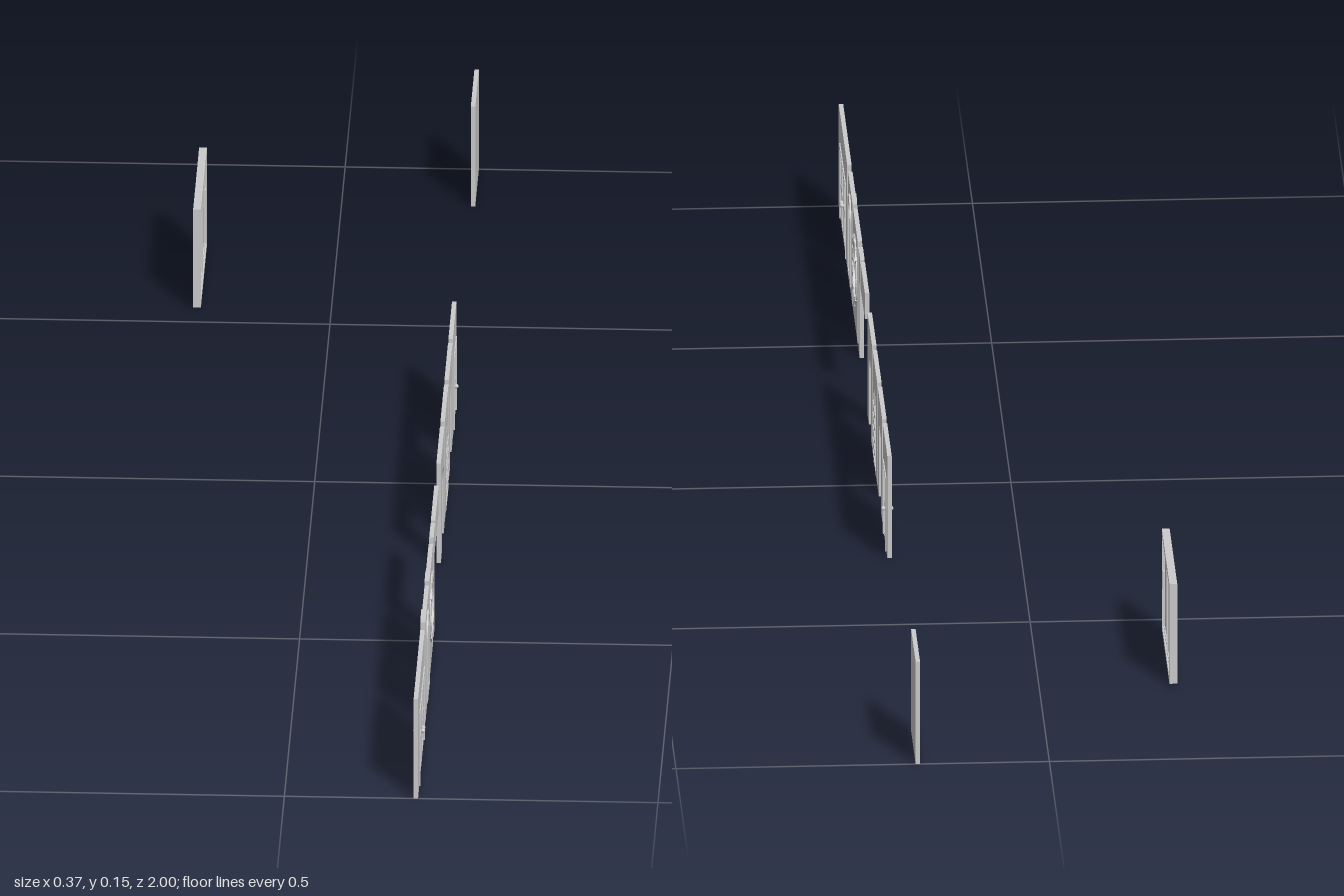
import * as THREE from 'three';

const GREY = new THREE.MeshStandardMaterial({ color: 0xcccccc, flatShading: true });
const Y0 = 0.013, Y1 = 0.16;      // foot and head of every wall
const WALL = 0.006, TRIM = 0.0105; // thicknesses

// Rectangle or round-headed outline; u runs along the wall, v is up
function rect(u0, u1, v0, v1, C = THREE.Shape) {
  const s = new C();
  s.moveTo(u0, v0); s.lineTo(u1, v0); s.lineTo(u1, v1); s.lineTo(u0, v1); s.closePath();
  return s;
}
function arch(u, r, v0, top, C = THREE.Shape) {
  const s = new C();
  s.moveTo(u - r, v0); s.lineTo(u + r, v0); s.lineTo(u + r, top - r);
  s.absarc(u, top - r, r, 0, Math.PI, false);
  s.closePath();
  return s;
}
function circle(u, v, r, C = THREE.Shape) {
  const s = new C();
  s.absarc(u, v, r, 0, Math.PI * 2, false);
  return s;
}
// Outline with the bottom-edge opening of a doorway cut away
function doorWall(u0, u1, a, b, top, round) {
  const s = new THREE.Shape();
  s.moveTo(u0, Y0); s.lineTo(a, Y0);
  if (round) {
    const r = (b - a) / 2;
    s.lineTo(a, top - r);
    s.absarc((a + b) / 2, top - r, r, Math.PI, 0, true);
  } else { s.lineTo(a, top); s.lineTo(b, top); }
  s.lineTo(b, Y0); s.lineTo(u1, Y0); s.lineTo(u1, Y1); s.lineTo(u0, Y1); s.closePath();
  return s;
}

function createModel() {
  const model = new THREE.Group();
  model.name = 'wallKit';

  // Panel group: local x becomes world z
  const panel = (name, x = 0.176) => {
    const g = new THREE.Group();
    g.name = name;
    g.position.x = x;
    g.rotation.y = -Math.PI / 2;
    model.add(g);
    return g;
  };
  const slab = (g, name, shape, depth, ...holes) => {
    shape.holes.push(...holes);
    const geo = new THREE.ExtrudeGeometry(shape, { depth, bevelEnabled: false, curveSegments: 12 });
    geo.translate(0, 0, -depth / 2);
    const m = new THREE.Mesh(geo, GREY);
    m.name = name;
    g.add(m);
  };
  const bar = (g, name, u0, u1, v0, v1, depth) => {
    const m = new THREE.Mesh(new THREE.BoxGeometry(u1 - u0, v1 - v0, depth), GREY);
    m.name = name;
    m.position.set((u0 + u1) / 2, (v0 + v1) / 2, 0);
    g.add(m);
  };
  // Door leaf with raised stiles and rails, and a knob on both sides
  const leaf = (g, u0, u1, top, knobU) => {
    const e = 0.006, mid = (u0 + u1) / 2, rail = 0.062;
    bar(g, 'doorLeaf', u0, u1, Y0, top, 0.003);
    const rows = [[Y0 + e, rail - 0.003], [rail + 0.003, top - e]];
    const holes = [];
    for (const [a, b] of rows)
      for (const [c, d] of [[u0 + e, mid - 0.002], [mid + 0.002, u1 - e]])
        holes.push(rect(c, d, a, b, THREE.Path));
    slab(g, 'doorStiles', rect(u0, u1, Y0, top), 0.006, ...holes);
    for (const s of [-1, 1]) {
      const knob = new THREE.Mesh(new THREE.SphereGeometry(0.003, 8, 6), GREY);
      knob.name = 'doorKnob';
      knob.position.set(knobU, rail, s * 0.0052);
      g.add(knob);
    }
  };
  const doorFrame = (g, a, b, top) => {
    const t = 0.004;
    bar(g, 'doorJamb', a, a + t, Y0, top, 0.009);
    bar(g, 'doorJamb', b - t, b, Y0, top, 0.009);
    bar(g, 'doorHead', a, b, top - t, top, 0.009);
  };

  // Wide wall with double doors
  let g = panel('doubleDoorWall');
  slab(g, 'wall', doorWall(0.782, 1, 0.81, 0.96, 0.12, false), WALL);
  doorFrame(g, 0.81, 0.96, 0.12);
  leaf(g, 0.814, 0.8845, 0.116, 0.88);
  leaf(g, 0.8855, 0.956, 0.116, 0.89);

  // Wall with tall arched window
  g = panel('archedWindowWall');
  slab(g, 'wall', rect(0.64, 0.758, Y0, Y1), WALL, arch(0.699, 0.028, 0.03, 0.149, THREE.Path));
  slab(g, 'windowFrame', arch(0.699, 0.03, 0.029, 0.15), TRIM, arch(0.699, 0.022, 0.036, 0.142, THREE.Path));
  slab(g, 'windowPane', arch(0.699, 0.025, 0.033, 0.145), 0.002);
  bar(g, 'mullion', 0.697, 0.701, 0.034, 0.143, 0.006);

  // Wall with round window
  g = panel('roundWindowWall');
  slab(g, 'wall', rect(0.508, 0.626, Y0, Y1), WALL, circle(0.567, 0.095, 0.046, THREE.Path));
  slab(g, 'windowRing', circle(0.567, 0.095, 0.048), 0.009, circle(0.567, 0.095, 0.039, THREE.Path));
  slab(g, 'windowPane', circle(0.567, 0.095, 0.042), 0.002);
  bar(g, 'mullion', 0.564, 0.57, 0.055, 0.135, 0.007);
  bar(g, 'transom', 0.527, 0.607, 0.092, 0.098, 0.007);
  for (let i = 0; i < 12; i++) { // raised blocks round the ring
    const a = (i + 0.5) * Math.PI / 6;
    const block = new THREE.Mesh(new THREE.BoxGeometry(0.009, 0.015, TRIM), GREY);
    block.name = 'ringBlock';
    block.position.set(0.567 + 0.0435 * Math.cos(a), 0.095 + 0.0435 * Math.sin(a), 0);
    block.rotation.z = a;
    g.add(block);
  }

  // Separate narrow post and lintel
  g = panel('postPiece');
  bar(g, 'post', 0.455, 0.487, Y0, Y1, WALL);
  bar(g, 'postHead', 0.441, 0.455, 0.122, Y1, WALL);
  g = panel('lintelPiece');
  bar(g, 'lintel', 0.322, 0.434, 0.123, Y1, WALL);

  // Open arched doorway
  g = panel('archedDoorwayWall');
  slab(g, 'wall', doorWall(0.134, 0.252, 0.157, 0.217, 0.122, true), WALL);

  // Arched doorway closed by a latticed gate
  g = panel('latticeGateWall');
  slab(g, 'wall', doorWall(0.001, 0.119, 0.03, 0.09, 0.122, true), WALL);
  slab(g, 'gatePanel', arch(0.06, 0.03, Y0, 0.122), 0.002);
  for (const u of [0.037, 0.052, 0.068, 0.083]) {
    const head = 0.092 + Math.sqrt(0.03 ** 2 - (u - 0.06) ** 2);
    bar(g, 'gateBar', u - 0.002, u + 0.002, Y0, head, 0.007);
  }
  for (let v = 0.026; v < 0.115; v += 0.018) {
    const w = v > 0.092 ? Math.sqrt(0.03 ** 2 - (v - 0.092) ** 2) : 0.03;
    bar(g, 'gateCrossbar', 0.06 - w, 0.06 + w, v - 0.002, v + 0.002, 0.009);
  }

  // Open square doorway
  g = panel('squareDoorwayWall');
  slab(g, 'wall', doorWall(-0.131, -0.013, -0.102, -0.042, 0.119, false), WALL);

  // Wall with single door
  g = panel('singleDoorWall');
  slab(g, 'wall', doorWall(-0.262, -0.144, -0.239, -0.172, 0.12, false), WALL);
  doorFrame(g, -0.239, -0.172, 0.12);
  leaf(g, -0.235, -0.176, 0.116, -0.205);

  // Pair of sliding panels in a frame
  g = panel('slidingPanels', -0.1795);
  slab(g, 'outerFrame', rect(-0.738, -0.54, 0.016, Y1), TRIM,
    rect(-0.73, -0.548, 0.022, 0.152, THREE.Path));
  for (const s of [-1, 1]) {
    const c = -0.639 + s * 0.046;
    bar(g, 'slidingPanel', c - 0.046, c + 0.046, 0.021, 0.153, 0.003);
    slab(g, 'panelRim', rect(c - 0.046, c + 0.046, 0.021, 0.153), 0.006,
      rect(c - 0.042, c + 0.042, 0.025, 0.149, THREE.Path));
    const h = -0.639 + s * 0.088;
    bar(g, 'pullHandle', h - 0.003, h + 0.003, 0.077, 0.104, 0.009);
  }
  bar(g, 'centrePost', -0.642, -0.636, 0.02, 0.154, 0.008);

  // Plain wall
  g = panel('plainWall');
  bar(g, 'wall', -1, -0.882, Y0, Y1, WALL);

  return model;
}

export { createModel };
